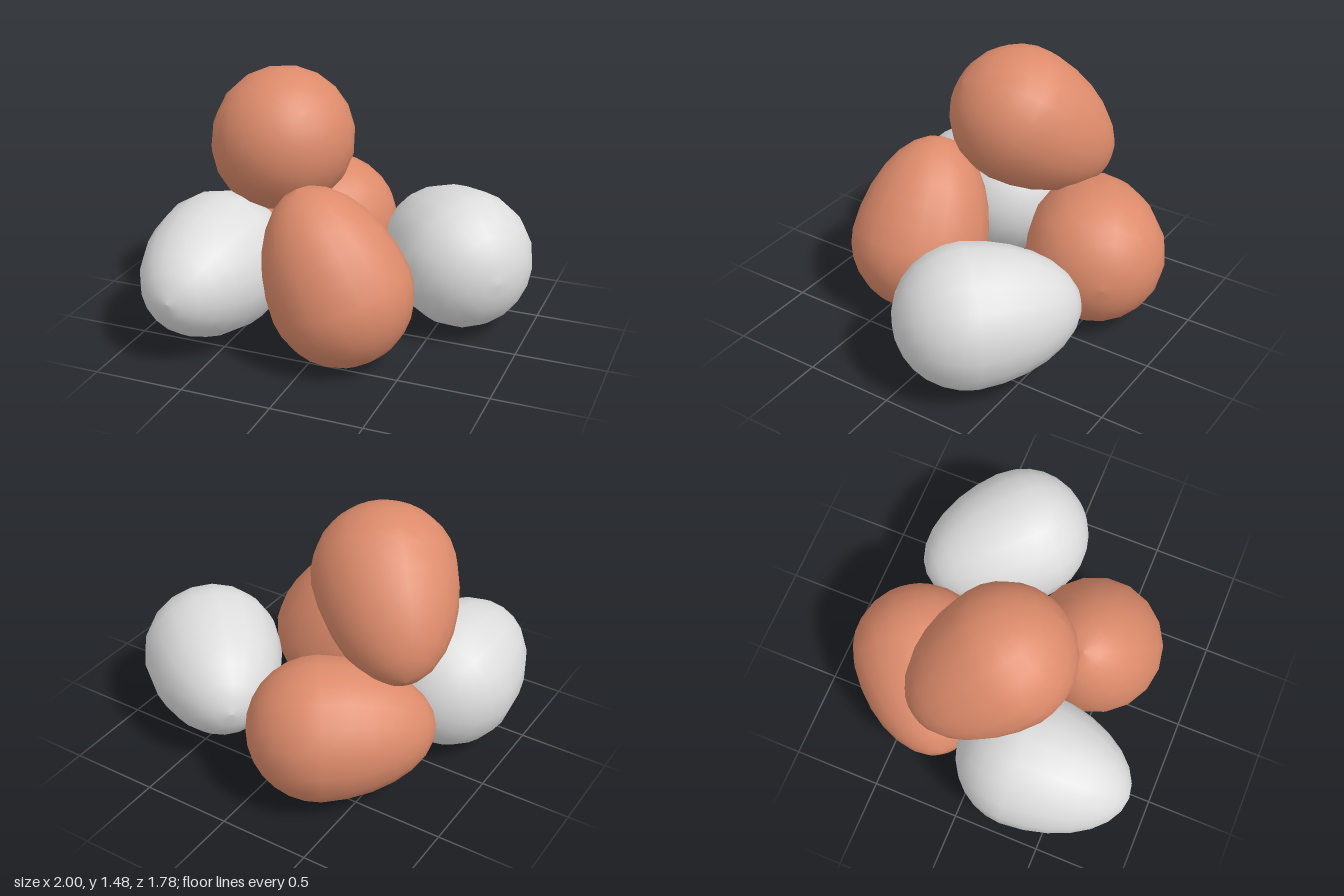
import * as THREE from 'three';

const RADIUS = 0.388, TIP = 0.61, RINGS = 14, SIDES = 18;

// Egg profile: round below the origin, drawn out to a narrower tip above it
function eggGeometry() {
  const points = [];
  for (let i = 0; i <= RINGS; i++) {
    const a = -Math.PI / 2 + (Math.PI * i) / RINGS;
    const s = Math.sin(a);
    const taper = s > 0 ? 1 - 0.06 * s : 1;
    const r = i === 0 || i === RINGS ? 0 : RADIUS * Math.cos(a) * taper;
    points.push(new THREE.Vector2(r, s * (s > 0 ? TIP : RADIUS)));
  }
  return new THREE.LatheGeometry(points, SIDES);
}

export function createModel() {
  const group = new THREE.Group();
  group.name = 'eggPile';

  const brown = new THREE.MeshStandardMaterial({ color: 0xdd8b6b });
  brown.name = 'brown shell';
  const white = new THREE.MeshStandardMaterial({ color: 0xdddddd });
  white.name = 'white shell';

  const geometry = eggGeometry();
  const up = new THREE.Vector3(0, 1, 0);

  // Name, shell, centre of the round end, direction of the tip
  const eggs = [
    ['frontRightWhiteEgg', white, [-0.62, 0.41, 0.28], [0, 0, 1]],
    ['leftWhiteEgg', white, [0.615, 0.41, -0.245], [-0.72, 0, -0.69]],
    ['frontBrownEgg', brown, [0.145, 0.388, 0.395], [-0.41, 0.91, 0]],
    ['backBrownEgg', brown, [-0.275, 0.41, -0.505], [-0.82, 0, 0.57]],
    ['topBrownEgg', brown, [-0.33, 1.09, 0.038], [-0.57, -0.57, -0.59]],
  ];

  for (const [name, shell, centre, tip] of eggs) {
    const egg = new THREE.Mesh(geometry, shell);
    egg.name = name;
    egg.position.set(...centre);
    egg.quaternion.setFromUnitVectors(up, new THREE.Vector3(...tip).normalize());
    group.add(egg);
  }
  return group;
}
